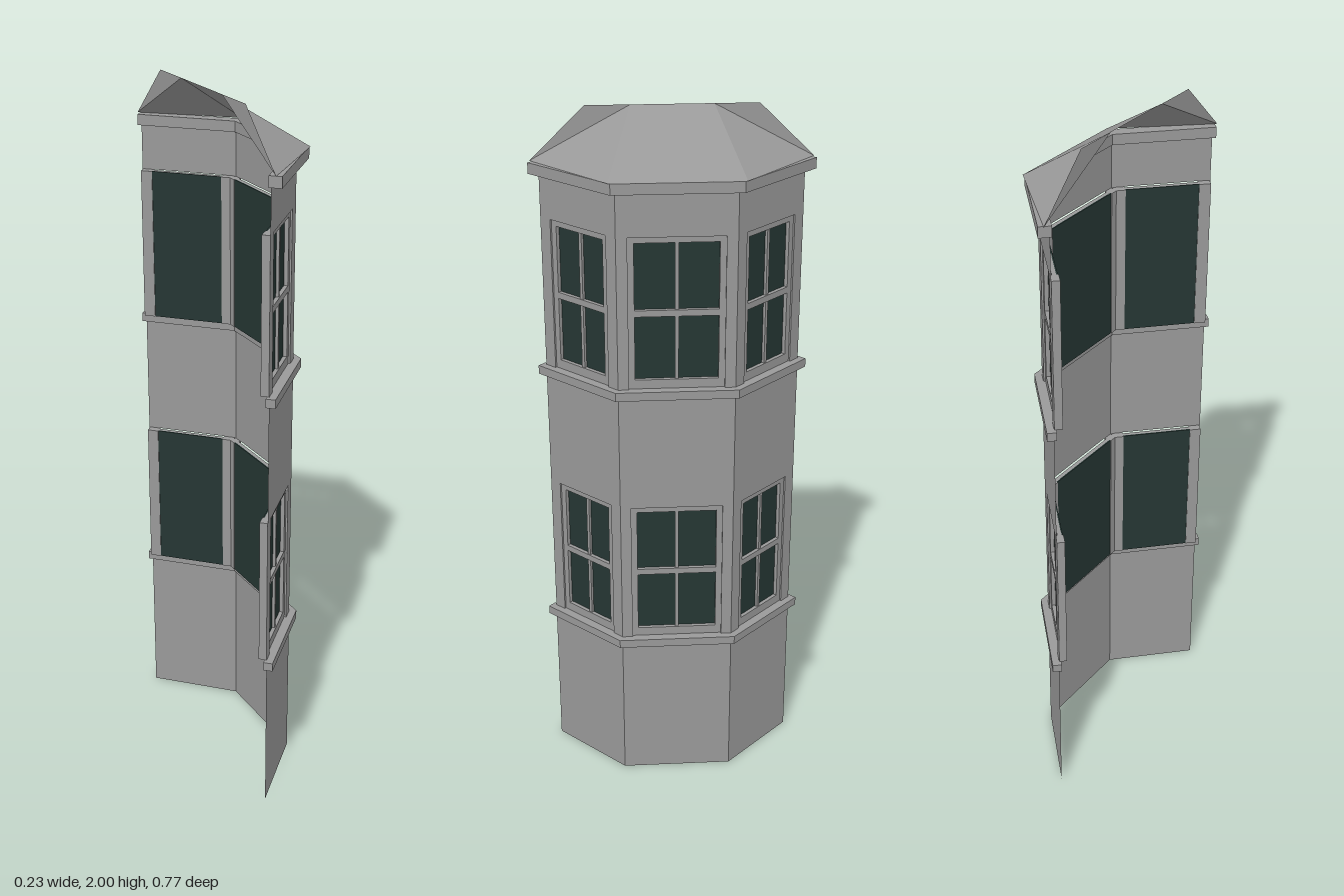
import * as THREE from 'three';

export function createModel() {
  const stone = new THREE.MeshStandardMaterial({ color: 0x999999, side: THREE.DoubleSide });
  stone.name = 'stone grey';
  const glass = new THREE.MeshStandardMaterial({ color: 0x253633, side: THREE.DoubleSide });
  glass.name = 'dark glass';

  const model = new THREE.Group();
  model.name = 'bayWindowTower';
  const add = (parent, name, geometry, material = stone) => {
    const mesh = new THREE.Mesh(geometry, material);
    mesh.name = name;
    parent.add(mesh);
    return mesh;
  };
  const box = (parent, name, x0, x1, y0, y1, z0, z1, material) =>
    add(parent, name, new THREE.BoxGeometry(x1 - x0, y1 - y0, z1 - z0), material)
      .position.set((x0 + x1) / 2, (y0 + y1) / 2, (z0 + z1) / 2);

  // Plan of the bay: one end and one corner, mirrored across z = 0
  const end = new THREE.Vector2(-0.105, 0.355);
  const corner = new THREE.Vector2(0.085, 0.16);
  const along = end.clone().sub(corner).normalize();
  const normal = new THREE.Vector2(along.y, -along.x);
  const sideLength = end.distanceTo(corner);
  const wallTop = 1.83;
  const floors = [0.475, 1.272];
  const windowHeight = 0.43;

  // One recessed sash window with glass, bars and the jambs behind the wall
  function addWindow(panel, half, panelHalf, y0) {
    const y1 = y0 + windowHeight;
    const win = new THREE.Group();
    win.name = 'window';
    panel.add(win);
    const paneHalf = half - 0.017;
    const back = -0.018, front = -0.006;
    box(win, 'glass', -half, half, y0, y1, -0.021, -0.017, glass);
    for (const s of [-1, 1]) {
      const edges = (a, b) => (s > 0 ? [a, b] : [-b, -a]);
      box(win, 'sashStile', ...edges(paneHalf, half), y0, y1, back, front);
      box(win, 'jamb', ...edges(half, panelHalf), y0, y1, -0.023, -0.001);
    }
    box(win, 'headRail', -paneHalf, paneHalf, y1 - 0.017, y1, back, front);
    box(win, 'bottomRail', -paneHalf, paneHalf, y0, y0 + 0.026, back, front);
    box(win, 'meetingRail', -paneHalf, paneHalf, y0 + 0.208, y0 + 0.226, back, front);
    box(win, 'glazingBar', -0.005, 0.005, y0, y1, back, front - 0.003);
  }

  // A flat wall panel with two window openings
  function addPanel(name, length, half, x, z, angle) {
    const panel = new THREE.Group();
    panel.name = name;
    panel.position.set(x, 0, z);
    panel.rotation.y = angle;
    model.add(panel);
    const rect = (path, w, y0, y1) =>
      path.moveTo(-w, y0).lineTo(w, y0).lineTo(w, y1).lineTo(-w, y1).closePath();
    const shape = rect(new THREE.Shape(), length / 2, 0, wallTop);
    for (const y of floors) {
      shape.holes.push(rect(new THREE.Path(), half, y, y + windowHeight));
      addWindow(panel, half, length / 2 - 0.003, y);
    }
    add(panel, 'wall', new THREE.ShapeGeometry(shape));
  }
  addPanel('frontPanel', corner.y * 2, 0.13, corner.x, 0, Math.PI / 2);
  for (const s of [1, -1]) {
    addPanel('sidePanel', sideLength, 0.101, (end.x + corner.x) / 2,
      s * (end.y + corner.y) / 2, Math.atan2(normal.x, s * normal.y));
  }

  // Mitred bands that follow the three walls
  const mitre = Math.tan(Math.atan2(normal.y, normal.x) / 2);
  function offsetLine(d, extra) {
    const e = end.clone().addScaledVector(normal, d).addScaledVector(along, extra);
    const c = new THREE.Vector2(corner.x + d, corner.y + d * mitre);
    return [e, c, new THREE.Vector2(c.x, -c.y), new THREE.Vector2(e.x, -e.y)];
  }
  function addBand(name, y0, y1, inner, outer, extra) {
    const points = [...offsetLine(outer, extra), ...offsetLine(inner, extra).reverse()];
    const geometry = new THREE.ExtrudeGeometry(new THREE.Shape(points),
      { depth: y1 - y0, bevelEnabled: false });
    geometry.rotateX(-Math.PI / 2);
    add(model, name, geometry).position.y = y0;
  }
  for (const y of floors) addBand('sillBand', y - 0.025, y, -0.006, 0.02, 0.011);
  addBand('cornice', 1.825, 1.855, -0.004, 0.03, 0.01);

  // Open-backed roof: front slope, two hips and the upright end pieces
  const roofPoint = (s) => ({
    eave: [0.115, 1.856, 0.178 * s],
    ridge: [-0.105, 2, 0.11 * s],
    tip: [-0.105, 2, 0.23 * s],
    foot: [-0.105, 1.856, 0.378 * s],
  });
  const L = roofPoint(1), R = roofPoint(-1);
  const triangles = (...points) => {
    const g = new THREE.BufferGeometry();
    g.setAttribute('position', new THREE.Float32BufferAttribute(points.flat(), 3));
    g.computeVertexNormals();
    return g;
  };
  add(model, 'roofFront', triangles(L.eave, R.eave, R.ridge, L.eave, R.ridge, L.ridge));
  add(model, 'roofLeftHip', triangles(L.foot, L.eave, L.ridge, L.foot, L.ridge, L.tip));
  add(model, 'roofRightHip', triangles(R.eave, R.foot, R.ridge, R.foot, R.tip, R.ridge));

  return model;
}
